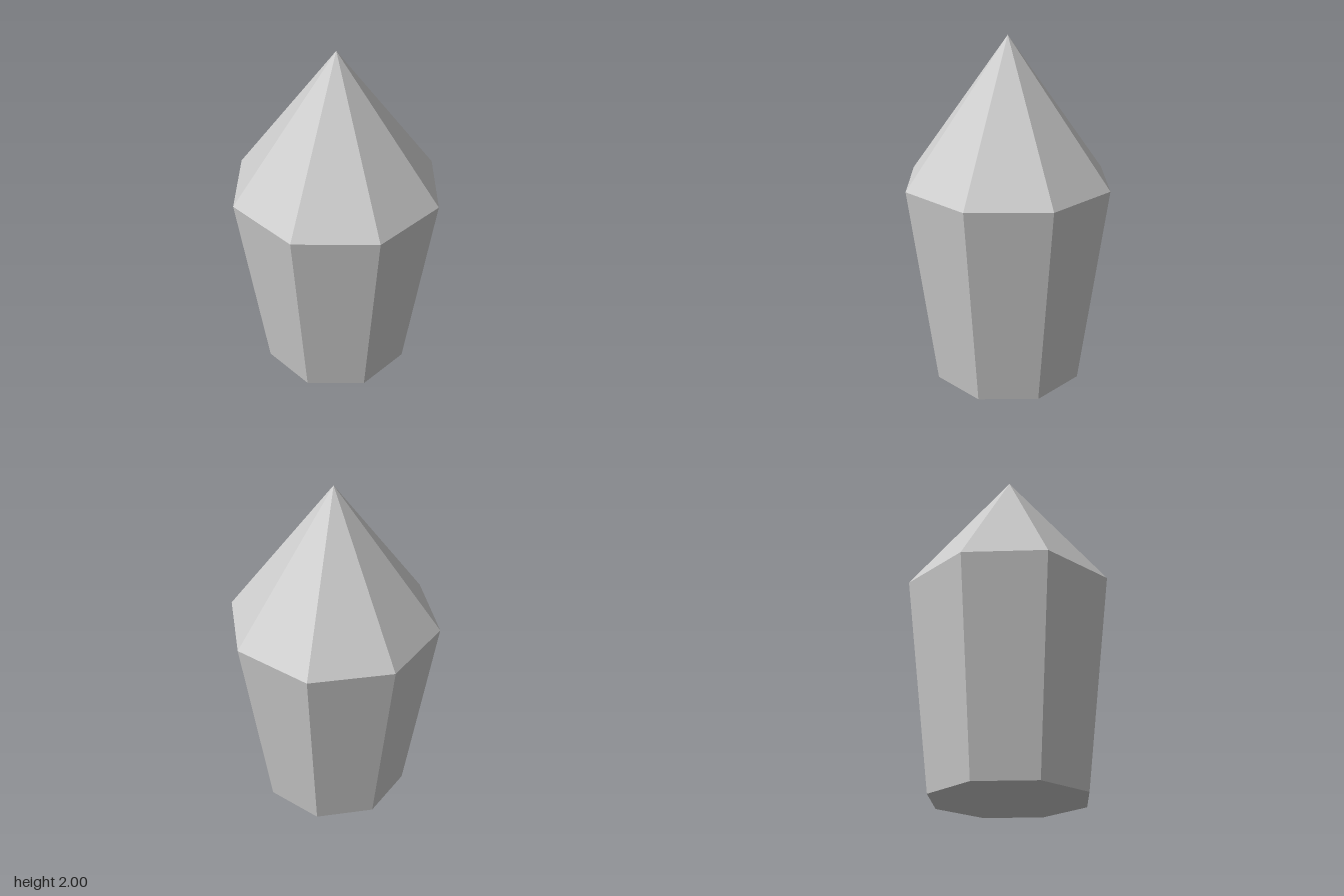
import * as THREE from 'three';

const SIDES = 8;
const BASE_RADIUS = 0.447;
const RIM_RADIUS = 0.602;
const RIM_HEIGHT = 1.19;
const TOTAL_HEIGHT = 2;

export function createModel() {
  const group = new THREE.Group();
  group.name = 'crystal';
  const material = new THREE.MeshStandardMaterial({ color: 0xcccccc, flatShading: true });

  const add = (name, geometry, y) => {
    const mesh = new THREE.Mesh(geometry, material);
    mesh.name = name;
    mesh.position.y = y;
    group.add(mesh);
  };

  // Tapered eight-sided shaft, widening towards the rim
  add('shaft', new THREE.CylinderGeometry(RIM_RADIUS, BASE_RADIUS, RIM_HEIGHT, SIDES, 1, true), RIM_HEIGHT / 2);

  // Pointed tip sharing the rim of the shaft
  const tipHeight = TOTAL_HEIGHT - RIM_HEIGHT;
  add('tip', new THREE.ConeGeometry(RIM_RADIUS, tipHeight, SIDES, 1, true), RIM_HEIGHT + tipHeight / 2);

  // Flat underside, facing down
  add('base', new THREE.CircleGeometry(BASE_RADIUS, SIDES).rotateX(Math.PI / 2), 0);

  return group;
}
